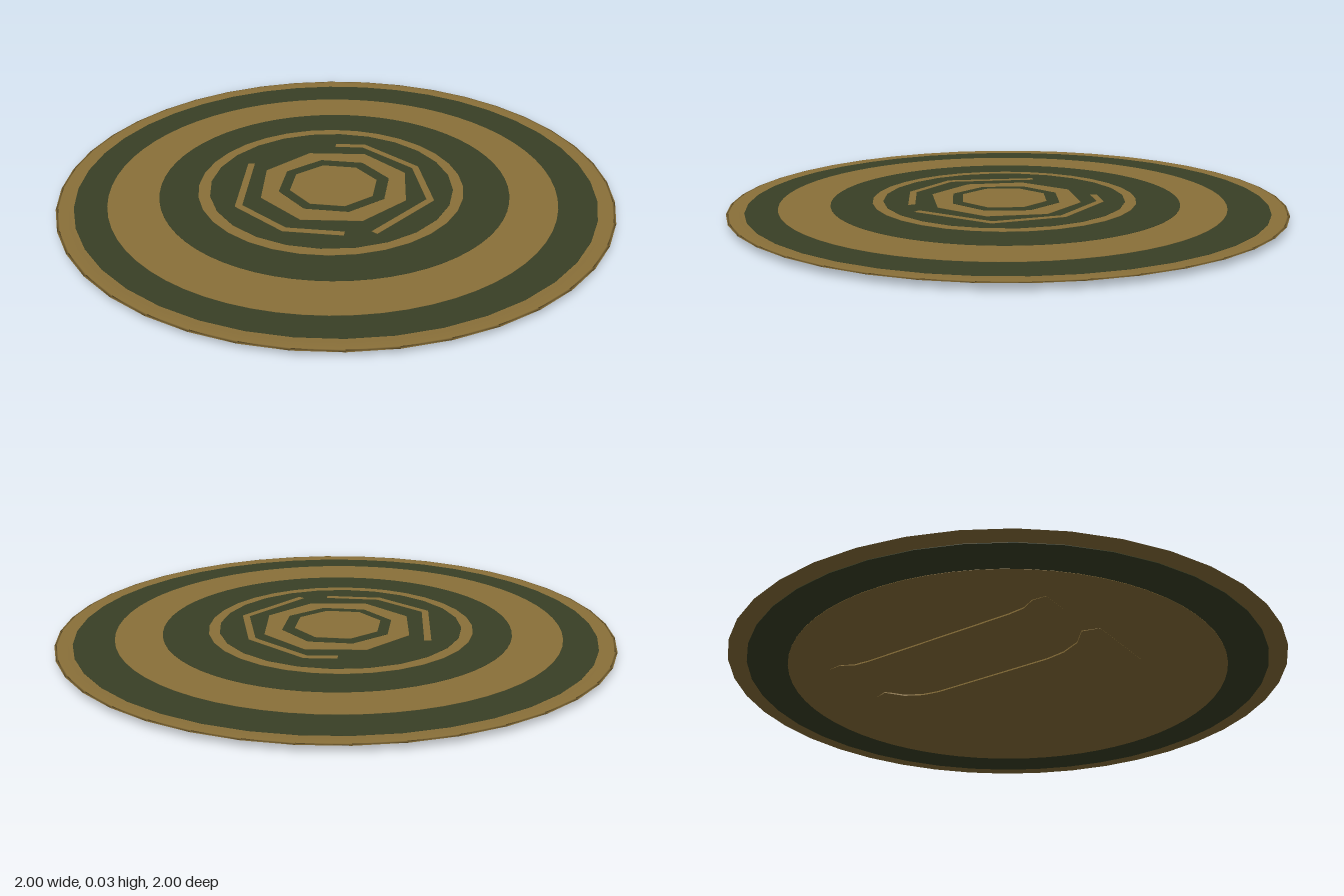
import * as THREE from 'three';

const gold = new THREE.MeshStandardMaterial({ color: 0x8a7039 });
gold.name = 'agedGold';
const green = new THREE.MeshStandardMaterial({ color: 0x394026 });
green.name = 'darkGreen';

function add(group, name, geometry, material) {
  const mesh = new THREE.Mesh(geometry, material);
  mesh.name = name;
  group.add(mesh);
  return mesh;
}

// Thin disc whose upper face sits at the given height
function plate(group, name, material, radius, top, sides, x = 0, z = 0, turn = 0) {
  const mesh = add(group, name, new THREE.CylinderGeometry(radius, radius, 0.002, sides), material);
  mesh.position.set(x, top - 0.001, z);
  mesh.rotation.y = turn;
}

// Thin inlaid line through a few [x, z] points
function inlay(group, name, points, width, top) {
  for (let i = 1; i < points.length; i++) {
    const [x0, z0] = points[i - 1], [x1, z1] = points[i];
    const dx = x1 - x0, dz = z1 - z0;
    const mesh = add(group, name, new THREE.BoxGeometry(Math.hypot(dx, dz) + width * 0.4, 0.002, width), gold);
    mesh.position.set((x0 + x1) / 2, top - 0.001, (z0 + z1) / 2);
    mesh.rotation.y = -Math.atan2(dz, dx);
  }
}

// Strap along z; stations are [distance from middle, half width, underside height]
function strap(group, name, cx, stations, thickness) {
  const n = stations.length - 1;
  const geometry = new THREE.BoxGeometry(2, 1, 2 * n, 1, 1, 2 * n);
  const p = geometry.attributes.position;
  for (let i = 0; i < p.count; i++) {
    const k = Math.round(p.getZ(i));
    const [t, half, y] = stations[Math.abs(k)];
    p.setXYZ(i, cx + p.getX(i) * half, y + (p.getY(i) + 0.5) * thickness, Math.sign(k) * t);
  }
  geometry.computeVertexNormals();
  add(group, name, geometry, gold);
}

export function createModel() {
  const shield = new THREE.Group();
  shield.name = 'roundShield';

  // Body with a slightly raised rim
  const profile = [[0, 0.02], [0.93, 0.021], [0.96, 0.0205], [1, 0.024], [0.99, 0.026],
    [0.955, 0.027], [0.935, 0.024], [0, 0.024]].map(([x, y]) => new THREE.Vector2(x, y));
  add(shield, 'bodyAndRim', new THREE.LatheGeometry(profile, 40), gold);

  // Painted rings on the face, stacked towards the middle
  plate(shield, 'outerGreenRing', green, 0.938, 0.025, 40);
  plate(shield, 'wideGoldRing', gold, 0.808, 0.026, 64, 0, 0.02);
  plate(shield, 'middleGreenRing', green, 0.633, 0.027, 64, 0, 0.01);
  plate(shield, 'thinGoldRing', gold, 0.482, 0.028, 32, -0.01, 0.018);
  plate(shield, 'innerGreenField', green, 0.442, 0.029, 24, -0.008, 0.018);
  inlay(shield, 'upperInlay', [[-0.18, -0.27], [-0.09, -0.325], [0.17, -0.28], [0.345, -0.09], [0.305, 0.21]], 0.025, 0.03);
  inlay(shield, 'lowerInlay', [[-0.355, 0.05], [-0.19, 0.33], [0.04, 0.37], [0.22, 0.28]], 0.025, 0.03);

  // Octagons at the centre
  plate(shield, 'goldOctagon', gold, 0.28, 0.03, 8, 0, 0.01, 0.17);
  plate(shield, 'greenOctagon', green, 0.207, 0.031, 8, 0, 0.01, 0.06);
  plate(shield, 'centreOctagon', gold, 0.163, 0.032, 8, 0, 0.015, 0.06);

  // Painted ring on the back
  plate(shield, 'backGreenRing', green, 0.935, 0.0212, 40);
  plate(shield, 'backGoldField', gold, 0.793, 0.0202, 64);

  // Arm strap with flared ends, and a slim grip beside it
  strap(shield, 'armStrap', -0.03,
    [[0, 0.075, 0], [0.24, 0.075, 0], [0.31, 0.08, 0.004], [0.38, 0.105, 0.01], [0.43, 0.16, 0.015], [0.49, 0.14, 0.0175]], 0.005);
  strap(shield, 'handGrip', -0.4,
    [[0, 0.027, 0.012], [0.3, 0.027, 0.012], [0.36, 0.03, 0.014], [0.41, 0.055, 0.016], [0.46, 0.05, 0.0175]], 0.005);

  return shield;
}
